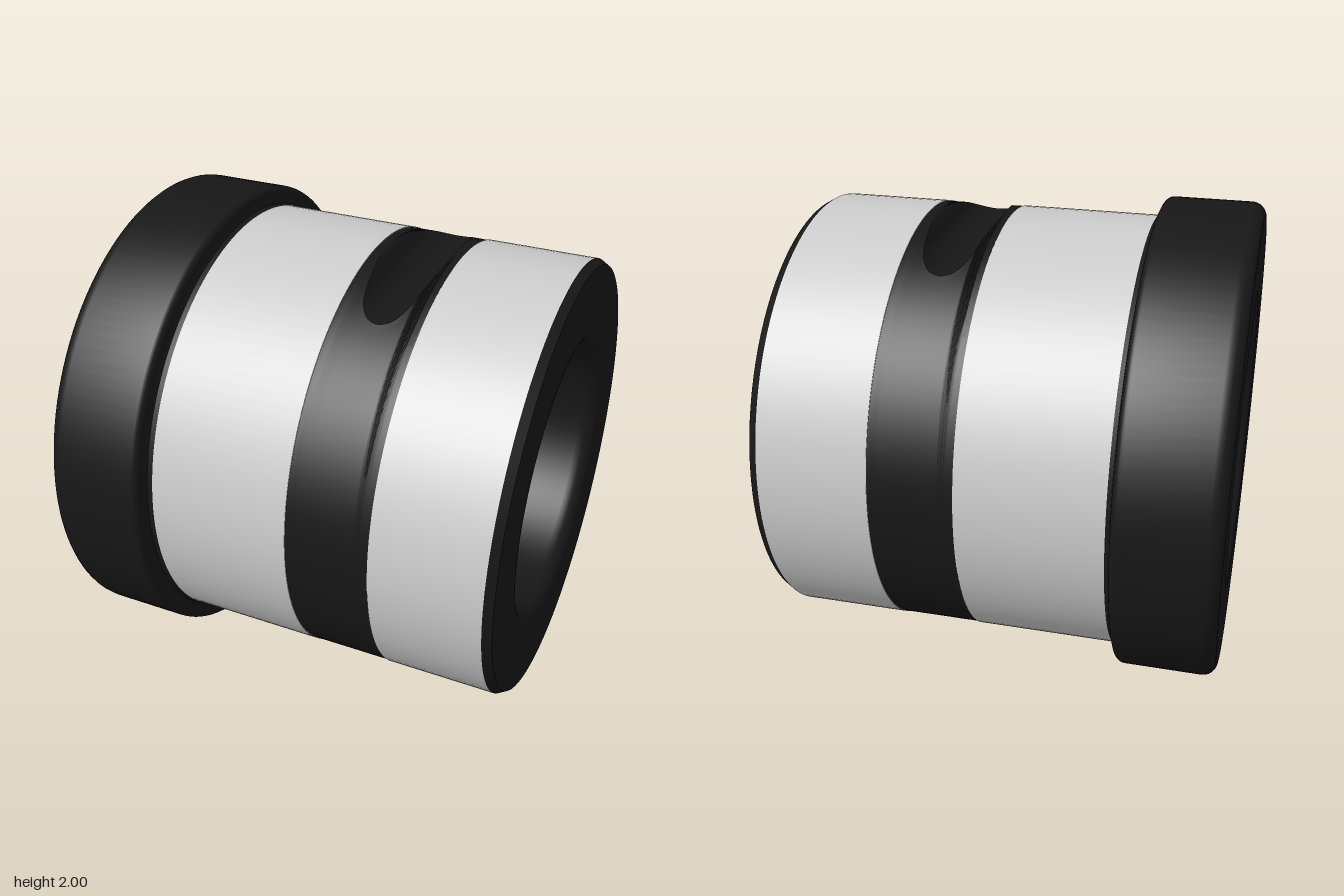
import * as THREE from 'three';
import { toCreasedNormals } from 'three/addons/utils/BufferGeometryUtils.js';

const SIDES = 128;
const R = 0.92; // body radius
const black = new THREE.MeshStandardMaterial({ color: 0x171717 });
const grey = new THREE.MeshStandardMaterial({ color: 0xcccccc });

// Points of a rounded corner, angles in degrees, as [radius, x]
function corner(cr, cx, r, from, to, n = 6) {
  return Array.from({ length: n + 1 }, (_, i) => {
    const a = THREE.MathUtils.degToRad(from + ((to - from) * i) / n);
    return [cr + r * Math.cos(a), cx + r * Math.sin(a)];
  });
}

// Turned part whose axis lies along x
function turned(name, profile, material) {
  const lathe = new THREE.LatheGeometry(profile.map(([r, x]) => new THREE.Vector2(r, x)), SIDES);
  lathe.rotateZ(-Math.PI / 2);
  const mesh = new THREE.Mesh(toCreasedNormals(lathe, 0.45), material);
  mesh.name = name;
  return mesh;
}

// Dark band whose top is cut by a round-bottomed slot running along z
function slottedBand() {
  const radius = 0.917;
  const cut = [
    [0.095, radius], [0.12, radius], [0.135, 0.91], [0.147, 0.895],
    ...corner(0.265, 0.915, 0.115, 200, 340, 20),
    [0.383, 0.895], [0.393, 0.91], [0.41, radius], [0.435, radius],
  ];
  const flat = 24, round = 120, n = flat + round;
  const pos = [], index = [];
  for (const [x, top] of cut) {
    const t0 = Math.max(0.002, Math.acos(Math.min(1, top / radius)));
    const half = radius * Math.sin(t0);
    for (let i = 0; i <= n; i++) {
      if (i < flat) {
        pos.push(x, radius * Math.cos(t0), half * ((2 * i) / flat - 1));
      } else {
        const t = t0 + ((i - flat) / round) * 2 * (Math.PI - t0);
        pos.push(x, radius * Math.cos(t), radius * Math.sin(t));
      }
    }
  }
  for (let j = 0; j < cut.length - 1; j++) {
    for (let i = 0; i < n; i++) {
      const a = j * (n + 1) + i, c = a + n + 1;
      index.push(a, a + 1, c, a + 1, c + 1, c);
    }
  }
  const geo = new THREE.BufferGeometry();
  geo.setAttribute('position', new THREE.Float32BufferAttribute(pos, 3));
  geo.setIndex(index);
  const mesh = new THREE.Mesh(toCreasedNormals(geo, 0.4), black);
  mesh.name = 'slottedBand';
  return mesh;
}

export function createModel() {
  const group = new THREE.Group();
  group.name = 'flangedBushing';

  // Shallow grooves inside the bore, from the plain end to the flange
  const grooves = [];
  for (let x = 0.6; x > -0.65; x -= 0.3) {
    grooves.push([0.57, x + 0.07], [0.595, x + 0.055], [0.595, x - 0.055], [0.57, x - 0.07]);
  }

  // Chamfered end, bore and flange in one turned profile
  group.add(turned('flangeAndBore', [
    [R, 0.885], [0.9, 0.92],
    ...corner(0.64, 0.85, 0.07, 90, 180),
    ...grooves,
    ...corner(0.64, -0.85, 0.07, 180, 270),
    ...corner(0.94, -0.86, 0.06, -90, 0),
    ...corner(0.97, -0.54, 0.03, 0, 90),
    [0.945, -0.51], [0.927, -0.503], [R, -0.485],
  ], black));

  // Grey outer sleeves either side of the slotted band
  group.add(turned('wideSleeve', [[R, -0.485], [R, 0.095], [0.91, 0.095]], grey));
  group.add(turned('narrowSleeve', [[0.91, 0.435], [R, 0.435], [R, 0.885]], grey));
  group.add(slottedBand());

  for (const part of group.children) part.position.y = 1;
  return group;
}
